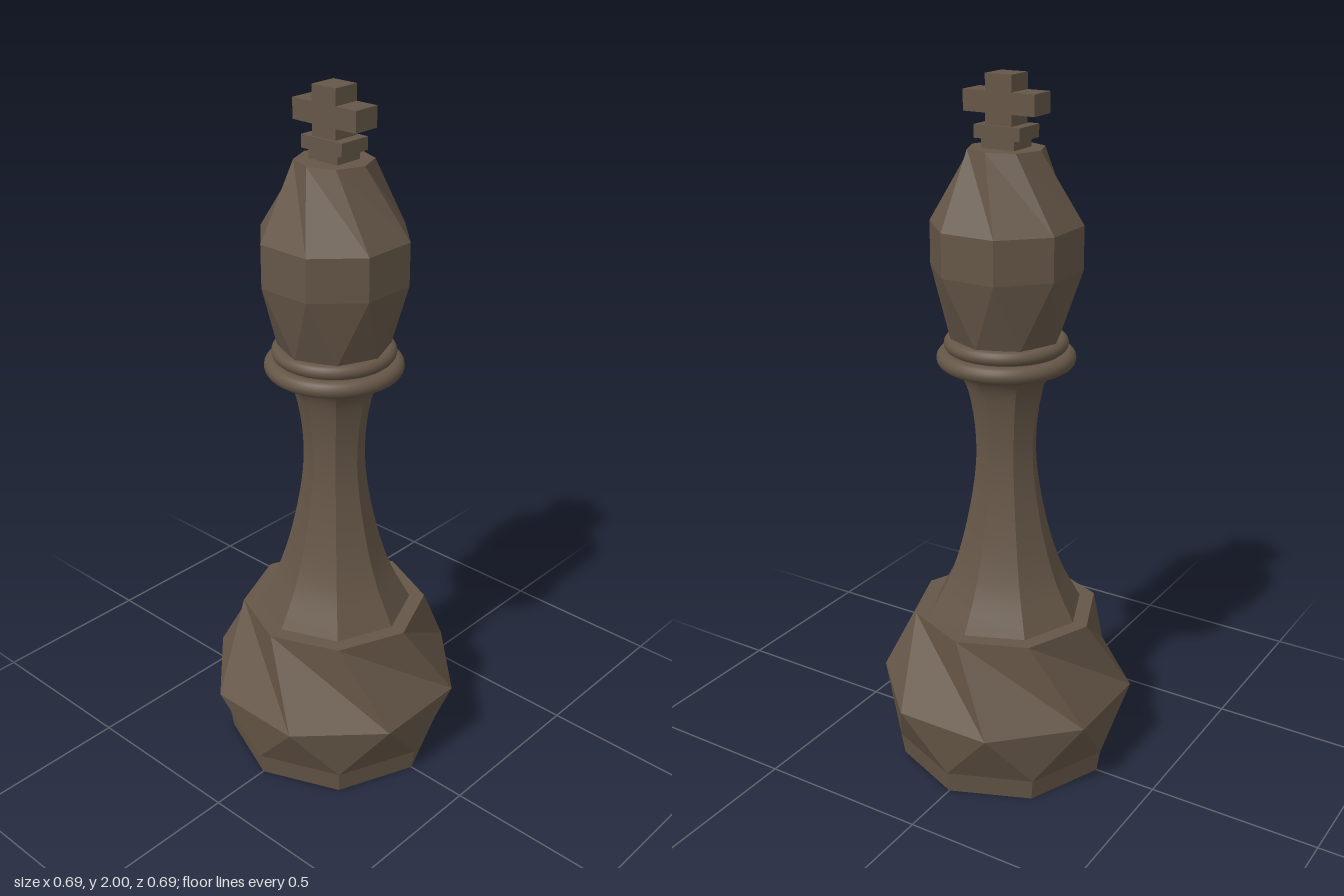
import * as THREE from 'three';
import { toCreasedNormals } from 'three/addons/utils/BufferGeometryUtils.js';

const SIDES = 8;

// Stack of octagonal rings [y, radius, phase (0 or 0.5 side), shift to the ring below].
// The shift sets how far the triangles of a band lean round the axis.
function ringStack(rings) {
  const pos = [];
  const point = (ring, k) => {
    const a = ((k + ring[2]) * 2 * Math.PI) / SIDES;
    return [ring[1] * Math.cos(a), ring[0], ring[1] * Math.sin(a)];
  };
  const tri = (a, b, c) => pos.push(...a, ...b, ...c);
  const first = rings[0], last = rings[rings.length - 1];
  for (let k = 0; k < SIDES; k++) {
    for (let i = 1; i < rings.length; i++) {
      const lo = rings[i - 1], hi = rings[i], s = hi[3];
      tri(point(lo, k + 1), point(lo, k), point(hi, k + s));
      tri(point(lo, k), point(hi, k + s - 1), point(hi, k + s));
    }
    tri([0, first[0], 0], point(first, k), point(first, k + 1));
    tri([0, last[0], 0], point(last, k + 1), point(last, k));
  }
  const geo = new THREE.BufferGeometry();
  geo.setAttribute('position', new THREE.Float32BufferAttribute(pos, 3));
  geo.computeVertexNormals();
  return geo;
}

export function createModel() {
  const group = new THREE.Group();
  const wood = new THREE.MeshStandardMaterial({ color: 0x655647 });
  wood.name = 'darkWood';

  const add = (name, geo, y = 0) => {
    const mesh = new THREE.Mesh(geo, wood);
    mesh.name = name;
    mesh.position.y = y;
    group.add(mesh);
    return mesh;
  };

  // Faceted base with a twisted upper band
  add('base', ringStack([
    [0, 0.315, 0, 0],
    [0.065, 0.325, 0, 1],
    [0.23, 0.374, 0.5, 0],
    [0.47, 0.27, 0, 2],
  ]));

  // Octagonal column with a smooth concave profile
  const profile = new THREE.CatmullRomCurve3([
    [0.225, 0.47], [0.16, 0.6], [0.112, 0.77], [0.087, 0.95],
    [0.098, 1.1], [0.122, 1.18], [0.168, 1.23],
  ].map(([r, y]) => new THREE.Vector3(r, y, 0)));
  const columnRings = profile.getPoints(28).map((p) => [p.y, p.x, 0, 1]);
  add('column', toCreasedNormals(ringStack(columnRings), 0.5));

  // Two round collar rings and the core between them
  for (const [name, radius, tube, y] of [
    ['lowerCollar', 0.169, 0.024, 1.238],
    ['upperCollar', 0.152, 0.02, 1.28],
  ]) {
    const ring = new THREE.TorusGeometry(radius, tube, 16, 64);
    ring.rotateX(Math.PI / 2);
    add(name, ring, y);
  }
  add('collarCore', new THREE.CylinderGeometry(0.153, 0.153, 0.07, 48), 1.264);

  // Faceted head, twisted towards the crown
  add('head', ringStack([
    [1.295, 0.155, 0, 0],
    [1.49, 0.209, 0.5, 0],
    [1.61, 0.209, 0.5, 1],
    [1.81, 0.105, 0, 2],
  ]));

  // Cross on its stepped foot
  for (const [name, w, d, y0, y1] of [
    ['crossFoot', 0.1, 0.086, 1.805, 1.836],
    ['crossPlinth', 0.14, 0.098, 1.835, 1.87],
    ['crossStem', 0.08, 0.08, 1.868, 2],
  ]) add(name, new THREE.BoxGeometry(w, y1 - y0, d), (y0 + y1) / 2);
  for (const side of [-1, 1]) {
    const arm = add(side > 0 ? 'leftCrossArm' : 'rightCrossArm',
      new THREE.BoxGeometry(0.068, 0.056, 0.08), 1.928);
    arm.position.x = side * 0.074;
  }
  return group;
}
